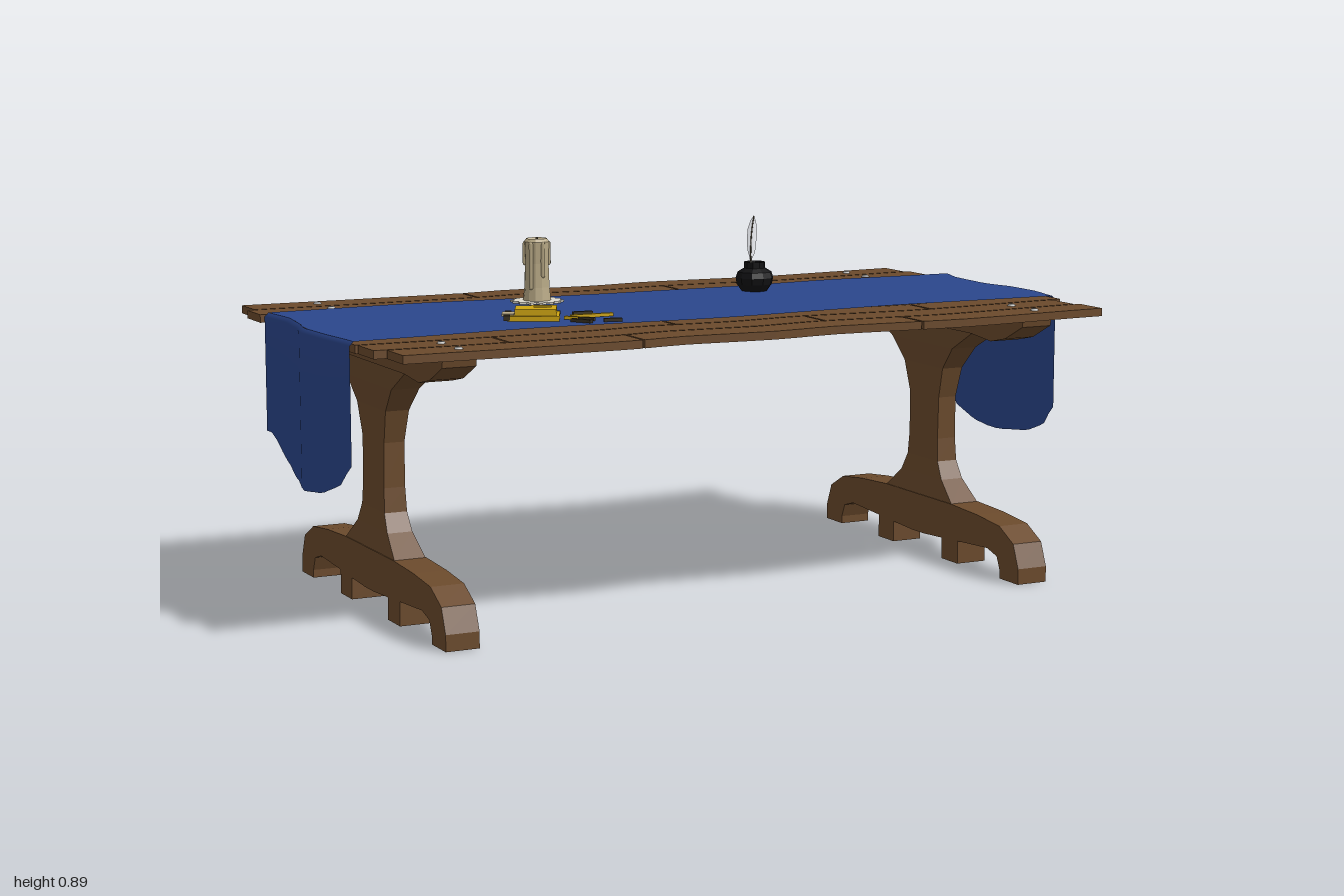
import * as THREE from 'three';

const mat = (name, color, side = THREE.FrontSide) => {
  const m = new THREE.MeshStandardMaterial({ color, side });
  m.name = name;
  return m;
};

// Piecewise curve through [position, value] pairs, eased between points
function curve(pts, t) {
  if (t <= pts[0][0]) return pts[0][1];
  for (let i = 1; i < pts.length; i++) {
    const [a, va] = pts[i - 1], [b, vb] = pts[i];
    if (t <= b) {
      const k = (t - a) / (b - a);
      return va + (vb - va) * (k * 0.5 + k * k * (3 - 2 * k) * 0.5);
    }
  }
  return pts[pts.length - 1][1];
}

// Faceted copy of a geometry
function flat(geo) {
  const g = geo.index ? geo.toNonIndexed() : geo;
  g.computeVertexNormals();
  return g;
}

// Move every vertex by a rule
function warp(geo, rule) {
  const p = geo.attributes.position, v = new THREE.Vector3();
  for (let i = 0; i < p.count; i++) {
    rule(v.fromBufferAttribute(p, i));
    p.setXYZ(i, v.x, v.y, v.z);
  }
  return geo;
}

// Thin sheet from a function of (u, v)
function sheet(nu, nv, fn) {
  const g = warp(new THREE.PlaneGeometry(1, 1, nu, nv), (p) => p.set(...fn(p.x + 0.5, 0.5 - p.y)));
  g.computeVertexNormals();
  return g;
}

const polygon = (pts) => new THREE.Shape(pts.map(([x, y]) => new THREE.Vector2(x, y)));
const mirrored = (half) => [...half, ...half.slice().reverse().map(([x, y]) => [-x, y])];

export function createModel() {
  const wood = mat('wood', 0x6b4a2c);
  const cloth = mat('blue cloth', 0x2b468c, THREE.DoubleSide);
  const black = mat('ink black', 0x111113);
  const gold = mat('gold', 0xcfa512);
  const wax = mat('candle wax', 0xb8a986);
  const pale = mat('pale wax', 0xdcd8cc);
  const dark = mat('dark metal', 0x3a3222);
  const steel = mat('nail steel', 0xb4b4b2);
  const feather = mat('feather grey', 0xb9bbc0, THREE.DoubleSide);

  const model = new THREE.Group();
  model.name = 'table';
  const add = (name, geo, material, x = 0, y = 0, z = 0, parent = model) => {
    const m = new THREE.Mesh(geo, material);
    m.name = name;
    m.position.set(x, y, z);
    parent.add(m);
    return m;
  };

  // Wavy planks: each row lists its start, joints and end
  const wave = [[-0.97, -0.005], [-0.65, 0.004], [-0.38, 0.009], [-0.24, -0.007], [0, 0.01],
    [0.17, -0.006], [0.52, 0.021], [0.94, -0.003]];
  const rows = [
    [-0.97, -0.37, 0.45, 0.93], [-0.99, 0.175, 0.945], [-0.95, -0.55, 0.0, 0.6, 0.965],
    [-0.94, -0.2, 0.35, 0.94], [-0.95, -0.6, 0.1, 0.95], [-0.94, -0.35, 0.5, 0.94],
    [-0.95, 0.05, 0.7, 0.95], [-0.975, -0.155, 0.55, 0.96], [-0.97, -0.64, 0.2, 0.93],
    [-0.94, -0.345, 0.405, 0.945],
  ];
  const pitch = 0.1035;
  rows.forEach((row, r) => {
    const zc = -0.525 + pitch * (r + 0.5);
    for (let i = 0; i + 1 < row.length; i++) {
      const len = row[i + 1] - row[i] - 0.006, xc = (row[i] + row[i + 1]) / 2;
      const geo = new THREE.BoxGeometry(len, 0.02, pitch - 0.006, Math.ceil(len / 0.06), 1, 1);
      geo.translate(xc, 0.685, zc);
      add('plank', flat(warp(geo, (p) => { p.z += curve(wave, p.x); })), wood);
    }
    // Nails near the ends of the uncovered planks
    if (r < 2 || r > 7) {
      for (const x of [-0.785, 0.765]) {
        add('nail', new THREE.CylinderGeometry(0.007, 0.012, 0.006, 6), steel, x, 0.697, zc + curve(wave, x));
      }
    }
  });

  // Trestle legs: foot, pinched column and top bracket
  const foot = polygon(mirrored([[0.03, 0.05], [0.122, 0.055], [0.122, 0], [0.2, 0], [0.2, 0.06],
    [0.34, 0.068], [0.385, 0.055], [0.4, 0.02], [0.4, 0], [0.484, 0], [0.484, 0.04],
    [0.46, 0.1], [0.395, 0.135], [0.29, 0.146], [0.165, 0.152]]));
  const bracket = polygon(mirrored([[0.25, 0.612], [0.34, 0.603], [0.405, 0.617], [0.482, 0.655], [0.486, 0.676]]));
  // Column sections: height, half depth, half width
  const sections = [[0.15, 0.165, 0.04], [0.205, 0.1, 0.032], [0.25, 0.075, 0.029], [0.31, 0.07, 0.027],
    [0.42, 0.072, 0.026], [0.5, 0.095, 0.03], [0.56, 0.15, 0.036], [0.613, 0.25, 0.04]];
  const n = sections.length - 1;
  for (const x of [-0.79, 0.767]) {
    const leg = new THREE.Group();
    leg.name = 'trestleLeg';
    leg.position.set(x, 0, -0.01);
    model.add(leg);
    for (const [name, shape] of [['foot', foot], ['bracket', bracket]]) {
      const geo = new THREE.ExtrudeGeometry(shape, { depth: 0.084, bevelEnabled: false });
      geo.translate(0, 0, -0.042).rotateY(Math.PI / 2);
      add(name, geo, wood, 0, 0, 0, leg);
    }
    const column = warp(new THREE.BoxGeometry(2, 1, 2, 1, n, 1), (p) => {
      const [y, hz, hx] = sections[Math.round((p.y + 0.5) * n)];
      p.set(p.x * hx, y, p.z * hz);
    });
    add('column', flat(column), wood, 0, 0, 0, leg);
  }

  // Table runner with a hanging drop at each end
  const back = [[-0.98, -0.322], [-0.6, -0.335], [-0.3, -0.312], [0, -0.3], [0.3, -0.295], [0.6, -0.315], [0.98, -0.295]];
  const front = [[-0.98, 0.272], [-0.5, 0.245], [0, 0.275], [0.5, 0.25], [0.96, 0.268]];
  const ends = {
    '-1': [[-0.32, -0.977], [-0.2, -0.966], [-0.1, -0.978], [0, -0.998], [0.1, -0.993], [0.27, -0.977]],
    '1': [[-0.3, 0.997], [-0.2, 0.968], [-0.05, 0.962], [0.05, 0.985], [0.15, 0.985], [0.27, 0.962]],
  };
  const hem = [[-0.32, 0.405], [-0.29, 0.405], [-0.2, 0.345], [-0.1, 0.32], [0, 0.31], [0.1, 0.32], [0.2, 0.35], [0.27, 0.41]];
  const spanZ = (x, v) => THREE.MathUtils.lerp(curve(back, x), curve(front, x), v);
  add('runnerTop', sheet(32, 14, (u, v) => {
    const z = spanZ(-0.98 + 1.96 * u, v);
    return [THREE.MathUtils.lerp(curve(ends[-1], z) + 0.01, curve(ends[1], z) - 0.01, u), 0.7, z];
  }), cloth);
  for (const s of [-1, 1]) {
    add('runnerDrop', sheet(20, 5, (u, v) => {
      const z = spanZ(s * 0.98, u), k = Math.round(v * 5);
      const y = k === 0 ? 0.7 : THREE.MathUtils.lerp(0.69, curve(hem, z), (k - 1) / 4);
      return [curve(ends[s], z) - (k === 0 ? s * 0.01 : 0), y, z];
    }), cloth);
  }

  // Candle with a hollow top, drips and a puddle of wax
  const candle = new THREE.Group();
  candle.name = 'candle';
  candle.position.set(-0.29, 0.7, -0.213);
  model.add(candle);
  const profile = [[0, 0.002], [0.036, 0.002], [0.032, 0.04], [0.03, 0.1], [0.032, 0.155], [0.026, 0.163], [0.018, 0.15], [0, 0.145]];
  add('candleBody', flat(new THREE.LatheGeometry(profile.map(([r, y]) => new THREE.Vector2(r, y)), 12)), wax, 0, 0, 0, candle);
  add('wick', new THREE.CylinderGeometry(0.003, 0.003, 0.022, 5), dark, 0, 0.154, 0, candle);
  for (let i = 0; i < 6; i++) {
    const a = i * 1.047 + 0.4, len = 0.05 + 0.03 * (i % 3);
    add('drip', new THREE.CapsuleGeometry(0.006, len, 2, 6), wax,
      0.03 * Math.cos(a), 0.15 - len / 2, 0.03 * Math.sin(a), candle);
  }
  const puddle = [];
  for (let i = 0; i < 28; i++) {
    const a = i / 28 * Math.PI * 2, r = i % 2 ? 0.058 : 0.068;
    puddle.push([r * Math.cos(a), r * Math.sin(a)]);
  }
  const puddleGeo = new THREE.ExtrudeGeometry(polygon(puddle), { depth: 0.005, bevelEnabled: false });
  add('waxPuddle', puddleGeo.rotateX(-Math.PI / 2), pale, 0, 0.001, 0, candle);

  // Ink pot
  const pot = [[0, 0], [0.034, 0], [0.047, 0.018], [0.05, 0.035], [0.045, 0.05], [0.028, 0.06], [0.028, 0.076], [0.021, 0.076], [0.019, 0.055], [0, 0.055]];
  add('inkPot', flat(new THREE.LatheGeometry(pot.map(([r, y]) => new THREE.Vector2(r, y)), 10)), black, 0.322, 0.7, -0.185);

  // Quill: dark shaft with a curved vane
  const shaft = new THREE.QuadraticBezierCurve3(new THREE.Vector3(0.312, 0.755, -0.185),
    new THREE.Vector3(0.325, 0.83, -0.22), new THREE.Vector3(0.363, 0.887, -0.265));
  add('quillShaft', new THREE.TubeGeometry(shaft, 8, 0.002, 5), dark);
  const vane = [[0, 0.001], [0.2, 0.004], [0.35, 0.014], [0.7, 0.016], [0.9, 0.009], [1, 0.001]];
  add('quillVane', sheet(10, 2, (u, v) => {
    const p = shaft.getPoint(u), w = curve(vane, u) * (v * 2 - 1);
    return [p.x + w * 0.9, p.y - w * 0.35, p.z + Math.abs(w) * 0.25];
  }), feather);

  // Gold case with an open frame lid
  const caseGroup = new THREE.Group();
  caseGroup.name = 'goldCase';
  caseGroup.position.set(-0.435, 0.701, 0.092);
  caseGroup.rotation.y = -0.45;
  model.add(caseGroup);
  add('caseBase', new THREE.BoxGeometry(0.125, 0.012, 0.1), gold, 0, 0.006, 0, caseGroup);
  const lid = polygon([[-0.045, -0.04], [0.055, -0.04], [0.055, 0.04], [-0.045, 0.04]]);
  lid.holes.push(polygon([[0, 0], [0, 0.028], [0.042, 0.028], [0.042, 0]]));
  add('caseLid', new THREE.ExtrudeGeometry(lid, { depth: 0.016, bevelEnabled: false }).rotateX(-Math.PI / 2), gold, 0, 0.012, 0, caseGroup);
  add('casePanel', new THREE.BoxGeometry(0.041, 0.003, 0.027), dark, 0.021, 0.014, -0.014, caseGroup);
  add('caseLabel', new THREE.BoxGeometry(0.03, 0.006, 0.045), wax, -0.062, 0.013, 0.01, caseGroup);
  for (const z of [-0.044, 0.044]) {
    add('caseClasp', new THREE.BoxGeometry(0.016, 0.012, 0.016), dark, -0.064, 0.008, z, caseGroup);
  }

  // Loose sticks: x, z, length, turn, material
  for (const [x, z, len, turn, m] of [
    [-0.295, 0.123, 0.11, -0.05, gold], [-0.35, 0.155, 0.06, -0.75, gold],
    [-0.36, 0.027, 0.045, -0.5, dark], [-0.295, 0.07, 0.05, -0.1, dark],
    [-0.36, 0.205, 0.055, -1.0, dark], [-0.285, 0.222, 0.045, -0.3, dark],
    [-0.335, 0.18, 0.04, -0.8, dark],
  ]) {
    add('looseStick', new THREE.BoxGeometry(len, 0.008, 0.012), m, x, 0.705, z).rotation.y = turn;
  }

  return model;
}
